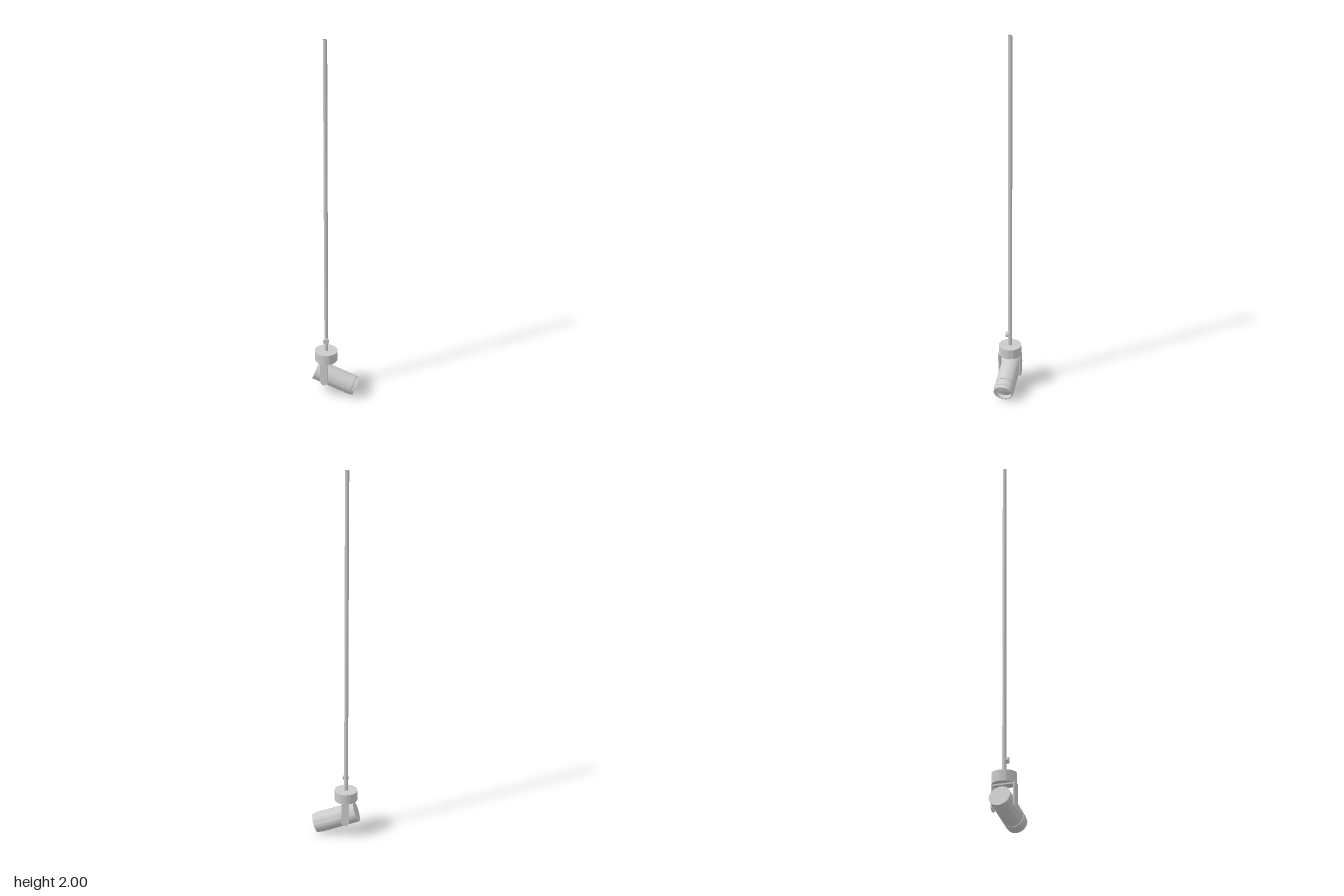
import * as THREE from 'three';
import { toCreasedNormals } from 'three/addons/utils/BufferGeometryUtils.js';

const grey = new THREE.MeshStandardMaterial({ color: 0xcccccc });
const greyDouble = new THREE.MeshStandardMaterial({ color: 0xcccccc, side: THREE.DoubleSide });
const UP = new THREE.Vector3(0, 1, 0);

function part(name, geometry, parent, material = grey) {
  const mesh = new THREE.Mesh(geometry, material);
  mesh.name = name;
  parent.add(mesh);
  return mesh;
}

// Revolve a list of [radius, height] points, keeping hard edges
function lathe(points, segments) {
  const profile = points.map(([r, y]) => new THREE.Vector2(r, y));
  return toCreasedNormals(new THREE.LatheGeometry(profile, segments), 0.5);
}

export function createModel() {
  const model = new THREE.Group();
  model.name = 'spotlight';

  // Everything that hangs on the rod's axis, turned to the lamp's heading
  const azimuth = THREE.MathUtils.degToRad(26.5);
  const mount = new THREE.Group();
  mount.name = 'mount';
  mount.position.set(-0.049, 0, -0.0235);
  mount.rotation.y = -azimuth;
  model.add(mount);

  // Long hollow rod
  const rod = part('rod', new THREE.CylinderGeometry(0.0105, 0.0105, 1.805, 16, 1, true), mount, greyDouble);
  rod.position.y = 1.0975;

  // Grip collar with a gently scalloped rim
  const rim = [];
  for (let i = 0; i < 72; i++) {
    const a = (i / 72) * Math.PI * 2;
    const r = 0.0615 + 0.001 * Math.cos(a * 12);
    rim.push(new THREE.Vector2(r * Math.cos(a), r * Math.sin(a)));
  }
  const collarGeometry = new THREE.ExtrudeGeometry(new THREE.Shape(rim), { depth: 0.056, bevelEnabled: false });
  collarGeometry.rotateX(-Math.PI / 2);
  const collar = part('collar', toCreasedNormals(collarGeometry, 0.5), mount);
  collar.position.y = 0.204;

  // Yoke: thin bridge and two arms with rounded lower ends
  const bridge = part('yokeBridge', new THREE.BoxGeometry(0.041, 0.008, 0.124), mount);
  bridge.position.y = 0.2;
  const armShape = new THREE.Shape();
  armShape.moveTo(0.0205, 0.2);
  armShape.lineTo(-0.0205, 0.2);
  armShape.lineTo(-0.0205, 0.0925);
  armShape.absarc(0, 0.0925, 0.0205, Math.PI, Math.PI * 2, false);
  armShape.closePath();
  const armGeometry = toCreasedNormals(
    new THREE.ExtrudeGeometry(armShape, { depth: 0.007, bevelEnabled: false, curveSegments: 12 }), 0.5);
  for (const [name, z] of [['frontArm', 0.055], ['rearArm', -0.062]]) {
    part(name, armGeometry, mount).position.z = z;
  }

  // Thumbscrew on the side of the rod
  const screw = new THREE.Group();
  screw.name = 'thumbscrew';
  screw.position.set(-0.049, 0.325, -0.0235);
  screw.quaternion.setFromUnitVectors(UP, new THREE.Vector3(-0.267, 0, 0.964).normalize());
  model.add(screw);
  const head = part('screwHead', toCreasedNormals(new THREE.CylinderGeometry(0.0165, 0.0165, 0.014, 12), 0.4), screw);
  head.position.y = 0.0165;
  const stem = part('screwStem', new THREE.CylinderGeometry(0.005, 0.005, 0.012, 10), screw);
  stem.position.y = 0.008;

  // Lamp: local y runs from the closed back to the open front
  const back = new THREE.Vector3(-0.1, 0.131, -0.05);
  const front = new THREE.Vector3(0.1, 0.05, 0.05);
  const lamp = new THREE.Group();
  lamp.name = 'lamp';
  lamp.position.copy(back);
  lamp.quaternion.setFromUnitVectors(UP, front.clone().sub(back).normalize());
  model.add(lamp);

  // Housing with a seam groove, stepped front rim and recess
  part('housing', lathe([
    [0, 0], [0.055, 0],
    [0.055, 0.179], [0.0525, 0.179], [0.0525, 0.183], [0.055, 0.183],
    [0.055, 0.217], [0.052, 0.22], [0.052, 0.238],
    [0.046, 0.238], [0.044, 0.216],
  ], 40), lamp, greyDouble);

  // Lens set back inside the rim
  part('lens', lathe([[0.045, 0.214], [0.03, 0.217], [0.015, 0.219], [0, 0.22]], 40), lamp, greyDouble);

  return model;
}
